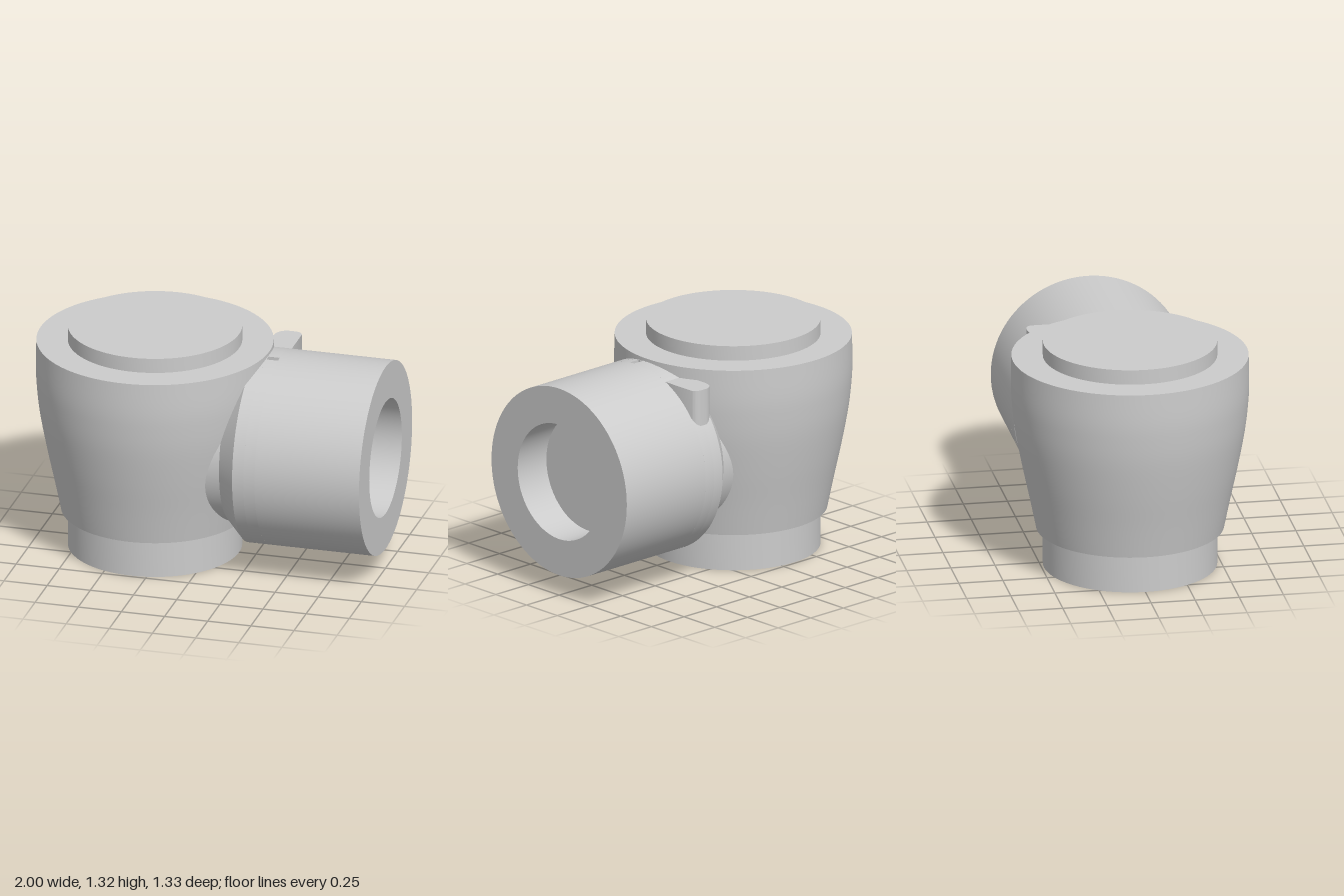
import * as THREE from 'three';
import { toCreasedNormals } from 'three/addons/utils/BufferGeometryUtils.js';

const material = new THREE.MeshStandardMaterial({ color: 0xcccccc });
const insideMaterial = new THREE.MeshStandardMaterial({ color: 0xcccccc, side: THREE.BackSide });
const v2 = ([r, h]) => new THREE.Vector2(r, h);

function lathe(name, points, start = 0, length = Math.PI * 2) {
  const geometry = new THREE.LatheGeometry(points, 96, start, length);
  const mesh = new THREE.Mesh(toCreasedNormals(geometry, 0.4), material);
  mesh.name = name;
  return mesh;
}

export function createModel() {
  const model = new THREE.Group();
  model.name = 'pipeElbowFitting';

  // Upright body: swelling side between flat rings, with round plugs at both ends
  const side = new THREE.SplineCurve([
    [0.525, 0.22], [0.562, 0.4], [0.605, 0.6], [0.642, 0.8],
    [0.659, 0.95], [0.665, 1.07], [0.662, 1.235],
  ].map(v2)).getPoints(28);
  const body = lathe('body', [
    ...[[0, 0], [0.487, 0], [0.487, 0.22]].map(v2),
    ...side,
    ...[[0.487, 1.235], [0.487, 1.32], [0, 1.32]].map(v2),
  ]);
  body.position.x = -0.335;
  model.add(body);

  // Side branch, turned so that its axis runs along +x
  const branch = new THREE.Group();
  branch.name = 'sideBranch';
  branch.rotation.z = -Math.PI / 2;
  branch.position.y = 0.667;
  const R = 0.55;
  const slotX = [0.33, 0.395], slotZ = [0.03, 0.065];
  const [a0, a1] = slotZ.map((z) => Math.asin(z / R));
  branch.add(
    lathe('branchNeck', [[0.445, 0], [0.445, 0.16], [R, 0.265], [R, slotX[0]]].map(v2)),
    // band left open where the small slot is cut
    lathe('slottedBand', [[R, slotX[0]], [R, slotX[1]]].map(v2),
      Math.PI * 1.5 + a1, Math.PI * 2 - (a1 - a0)),
    // sleeve, end face and blind bore
    lathe('branchSleeve', [[R, slotX[1]], [R, 1], [0.337, 1], [0.337, 0.78], [0, 0.78]].map(v2)),
  );
  model.add(branch);

  // Recess below the slot
  const recess = new THREE.Mesh(
    new THREE.BoxGeometry(slotX[1] - slotX[0], 0.04, slotZ[1] - slotZ[0]), insideMaterial);
  recess.name = 'slotRecess';
  recess.position.set((slotX[0] + slotX[1]) / 2, 1.194, (slotZ[0] + slotZ[1]) / 2);
  model.add(recess);

  // Upright lug with a rounded back end (shape y becomes -z)
  const outline = new THREE.Shape();
  outline.moveTo(0.245, 0.22);
  outline.lineTo(0.395, 0.22);
  outline.lineTo(0.395, 0.43);
  outline.quadraticCurveTo(0.385, 0.465, 0.34, 0.465);
  outline.lineTo(0.31, 0.465);
  outline.quadraticCurveTo(0.25, 0.455, 0.245, 0.385);
  outline.closePath();
  const lugGeometry = new THREE.ExtrudeGeometry(outline, {
    depth: 0.27, bevelEnabled: false, curveSegments: 10,
  });
  lugGeometry.rotateX(-Math.PI / 2);
  const lug = new THREE.Mesh(toCreasedNormals(lugGeometry, 0.5), material);
  lug.name = 'lug';
  lug.position.y = 0.9;
  model.add(lug);

  return model;
}
